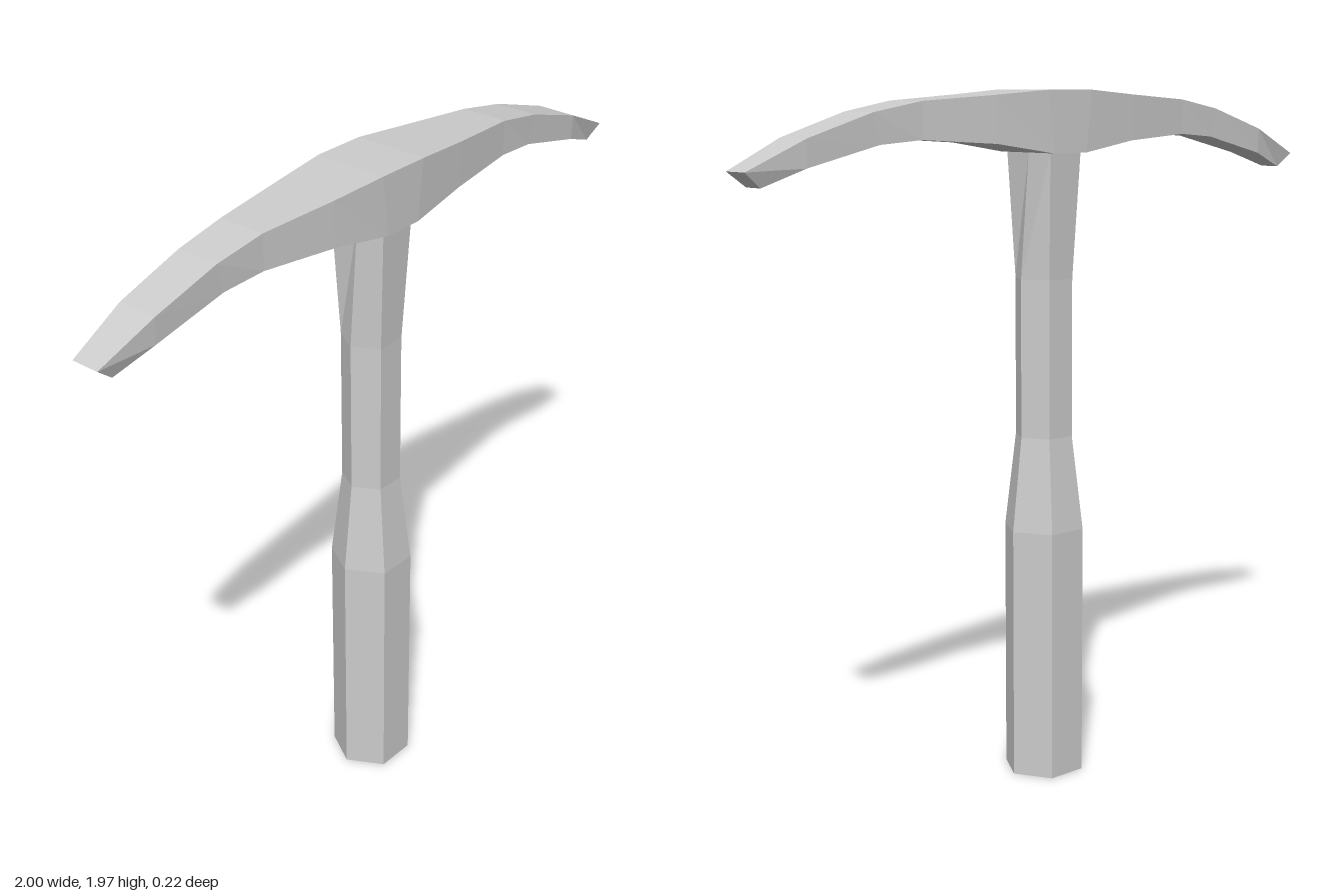
import * as THREE from 'three';

// Skin a list of closed rings (each counter-clockwise seen from the far end) and cap both ends
function loft(rings) {
  const pos = [];
  const tri = (a, b, c) => pos.push(...a, ...b, ...c);
  for (let r = 0; r < rings.length - 1; r++) {
    const a = rings[r], b = rings[r + 1], n = a.length;
    for (let i = 0; i < n; i++) {
      const j = (i + 1) % n;
      tri(a[i], a[j], b[j]);
      tri(a[i], b[j], b[i]);
    }
  }
  const first = rings[0], last = rings[rings.length - 1];
  for (let i = 1; i < first.length - 1; i++) {
    tri(first[0], first[i + 1], first[i]);
    tri(last[0], last[i], last[i + 1]);
  }
  const geo = new THREE.BufferGeometry();
  geo.setAttribute('position', new THREE.Float32BufferAttribute(pos, 3));
  geo.computeVertexNormals();
  return geo;
}

export function createModel() {
  const group = new THREE.Group();
  const material = new THREE.MeshStandardMaterial({ color: 0xcccccc, flatShading: true });
  const add = (name, geometry) => {
    const mesh = new THREE.Mesh(geometry, material);
    mesh.name = name;
    group.add(mesh);
  };

  // Six-sided handle: height, side corner x, front corner x, half depth
  const handle = [
    [0, 0.117, 0.059, 0.102],
    [0.73, 0.117, 0.059, 0.102],
    [1.0, 0.085, 0.043, 0.072],
    [1.45, 0.085, 0.043, 0.072],
    [1.8, 0.056, 0.056, 0.09],
    [1.84, 0.053, 0.053, 0.09],
  ];
  add('handle', loft(handle.map(([y, side, front, d]) => [
    [side, y, 0], [front, y, -d], [-front, y, -d],
    [-side, y, 0], [-front, y, d], [front, y, d],
  ])));

  // Curved head, one half: top x, top y, bottom x, bottom y, top half width, bottom half width
  const half = [
    [0.08, 1.97, 0.06, 1.8, 0.11, 0.11],
    [0.25, 1.957, 0.25, 1.829, 0.095, 0.095],
    [0.48, 1.942, 0.48, 1.843, 0.07, 0.07],
    [0.63, 1.915, 0.61, 1.833, 0.064, 0.062],
    [0.83, 1.853, 0.83, 1.78, 0.059, 0.056],
    [1.0, 1.775, 0.95, 1.735, 0.042, 0.032],
  ];
  const section = (s) => ([tx, ty, bx, by, tw, bw]) => [
    [s * bx, by, -bw], [s * tx, ty, -tw], [s * tx, ty, tw], [s * bx, by, bw],
  ];
  add('pickHead', loft([...half.map(section(-1)).reverse(), ...half.map(section(1))]));

  return group;
}
